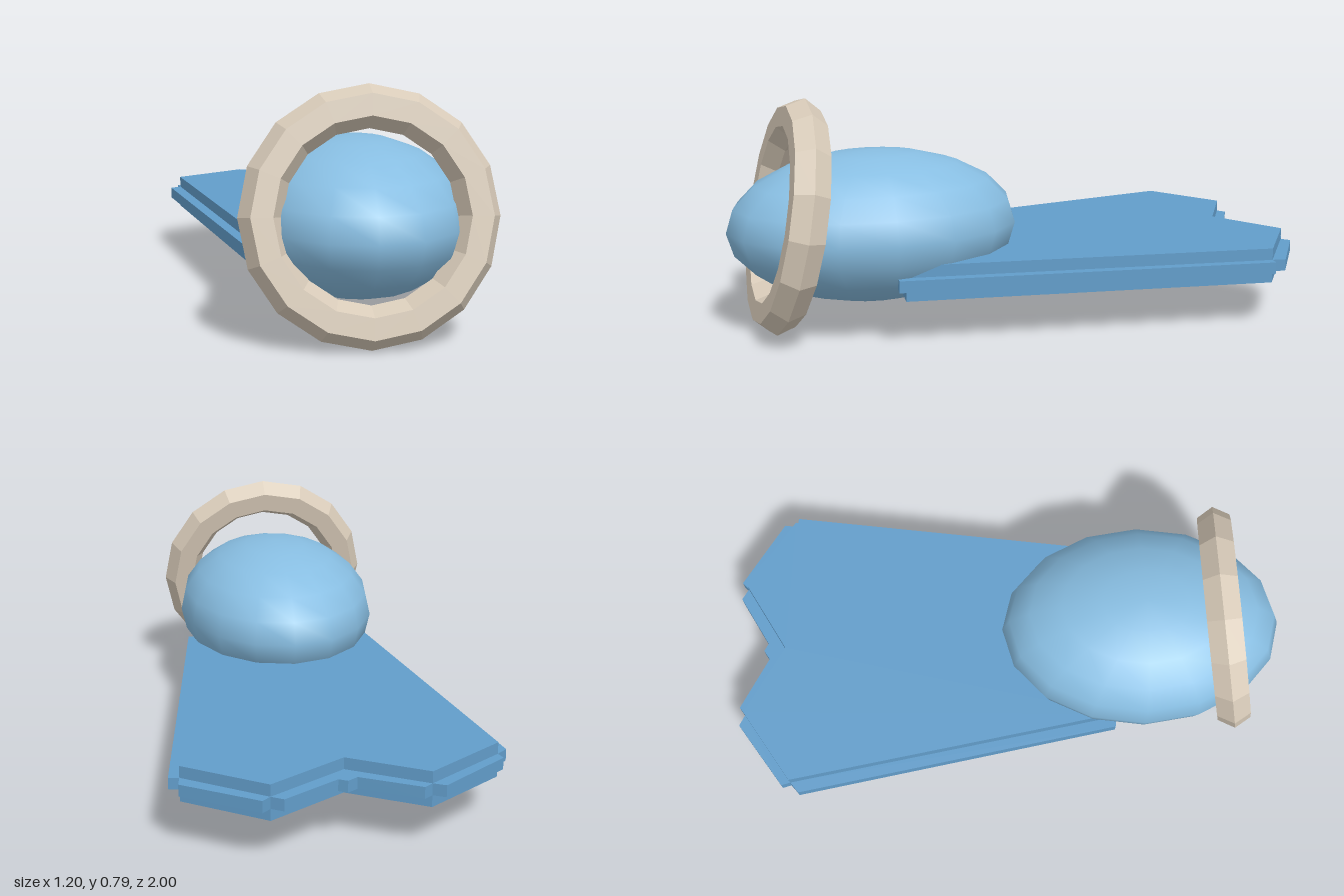
import * as THREE from 'three';

const bodyBlue = new THREE.MeshStandardMaterial({ color: 0x88bee2 });
bodyBlue.name = 'lightBlue';
const tailBlue = new THREE.MeshStandardMaterial({ color: 0x629dca, flatShading: true });
tailBlue.name = 'tailBlue';
const sand = new THREE.MeshStandardMaterial({ color: 0xd8cbb9, flatShading: true });
sand.name = 'sand';

function add(group, name, geometry, material) {
  const mesh = new THREE.Mesh(geometry, material);
  mesh.name = name;
  group.add(mesh);
  return mesh;
}

// Horizontal plate from an outline of [x, z] points, between two heights
function plate(outline, y0, y1) {
  const shape = new THREE.Shape(outline.map(([x, z]) => new THREE.Vector2(x, -z)));
  const g = new THREE.ExtrudeGeometry(shape, { depth: y1 - y0, bevelEnabled: false });
  g.rotateX(-Math.PI / 2);
  g.translate(0, y0, 0);
  return g;
}

export function createModel() {
  const model = new THREE.Group();
  model.name = 'finnedBody';

  // Egg-shaped body, turned slightly to the left
  const body = add(model, 'body', new THREE.SphereGeometry(1, 16, 10), bodyBlue);
  body.scale.set(0.37, 0.258, 0.503);
  body.position.set(0.146, 0.357, 0.502);
  body.rotation.y = 0.16;

  // Six-sided ring around the nose, tilted up and to the left
  const ring = add(model, 'noseRing', new THREE.TorusGeometry(0.335, 0.068, 6, 16), sand);
  ring.position.set(0.2, 0.405, 0.798);
  ring.quaternion.setFromUnitVectors(
    new THREE.Vector3(0, 0, 1),
    new THREE.Vector3(0.17, 0.185, 0.97).normalize()
  );

  // Forked tail fin
  const fin = [
    [-0.175, 0.45], [0.452, 0.42], [0.425, -0.838],
    [0.145, -0.972], [-0.08, -0.785], [-0.345, -0.89], [-0.573, -0.68],
  ];
  add(model, 'tailFin', plate(fin, 0.16, 0.28), tailBlue);

  // Thin rim strip standing out from the fin edges, notched at the corners
  const rim = [
    [-0.21, 0.46], [0.488, 0.445], [0.46, -0.838], [0.425, -0.838], [0.425, -0.885],
    [0.168, -1], [0.145, -0.972], [0.103, -0.99], [-0.06, -0.857], [-0.09, -0.868],
    [-0.12, -0.842], [-0.32, -0.915], [-0.345, -0.89], [-0.387, -0.904],
    [-0.587, -0.71], [-0.573, -0.68], [-0.605, -0.645],
  ];
  add(model, 'tailFinRim', plate(rim, 0.2, 0.24), tailBlue);

  return model;
}
